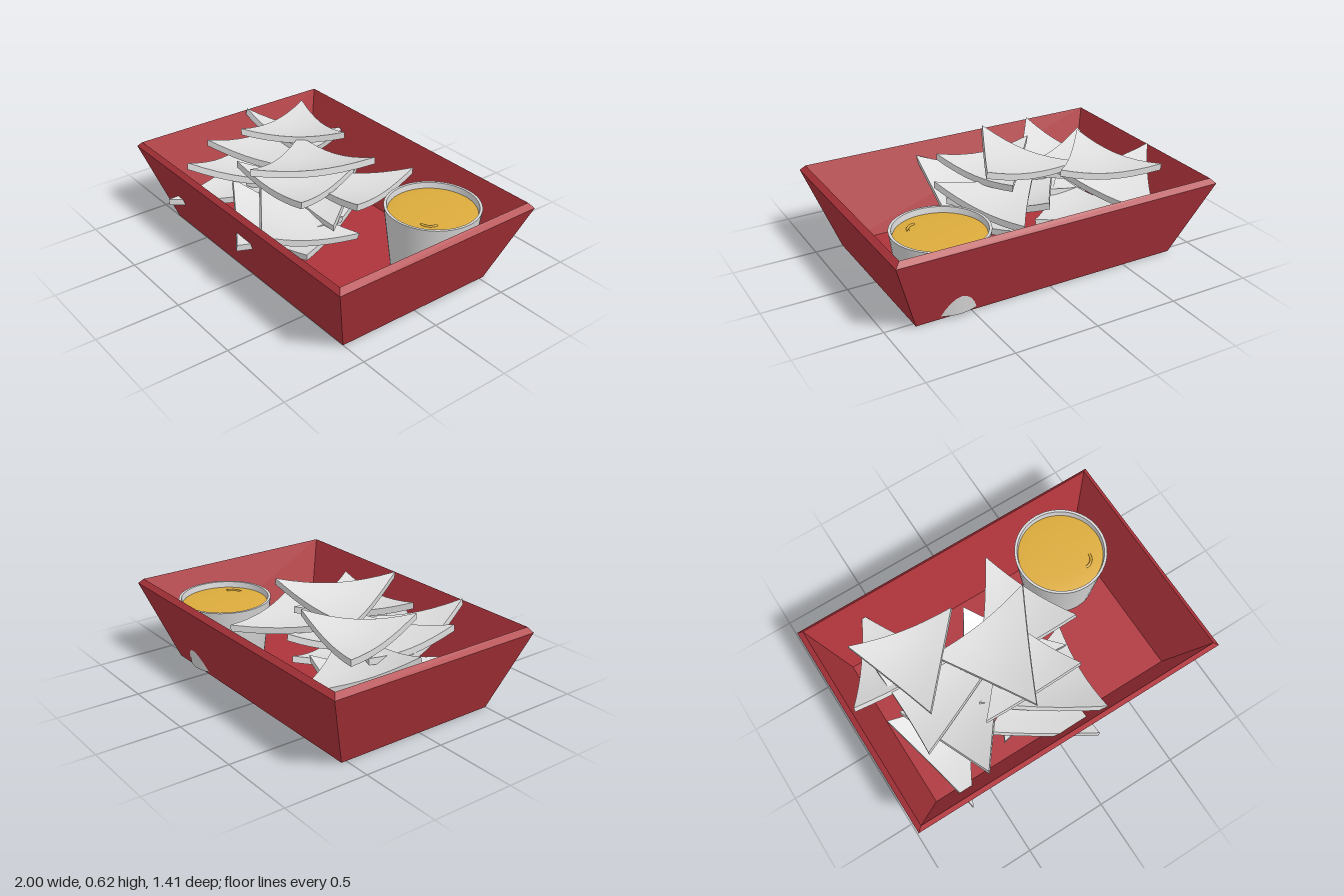
import * as THREE from 'three';

const mat = (name, color, side = THREE.FrontSide) => {
  const m = new THREE.MeshStandardMaterial({ color, side });
  m.name = name;
  return m;
};

// Tray shell: a strip of rectangular rings, capped at the underside and the inner floor
function trayGeometry() {
  const rings = [ // half width, back z, front z, height
    [0.83, -0.53, 0.50, 0],
    [1.00, -0.705, 0.66, 0.475],
    [0.97, -0.68, 0.638, 0.505],
    [0.81, -0.52, 0.47, 0.03],
  ].map(([x, b, f, y]) => [[-x, y, f], [x, y, f], [x, y, b], [-x, y, b]]);
  const pos = [];
  const quad = (a, b, c, d) => pos.push(...a, ...b, ...c, ...a, ...c, ...d);
  for (let r = 0; r < 3; r++) {
    for (let i = 0; i < 4; i++) {
      const j = (i + 1) % 4;
      quad(rings[r][i], rings[r][j], rings[r + 1][j], rings[r + 1][i]);
    }
  }
  quad(...rings[3]);
  quad(...[...rings[0]].reverse());
  const g = new THREE.BufferGeometry();
  g.setAttribute('position', new THREE.Float32BufferAttribute(pos, 3));
  g.computeVertexNormals();
  return g;
}

// Curled triangular chip: corners stay high, the middle sags, with a thin edge all round
function chipGeometry(corners, sag = 0.06, thick = 0.04, n = 8) {
  let [A, B, C] = corners.map((c) => new THREE.Vector3(...c));
  const up = new THREE.Vector3().crossVectors(B.clone().sub(A), C.clone().sub(A)).normalize();
  if (up.y < 0) { [B, C] = [C, B]; up.negate(); }
  const centre = A.clone().add(B).add(C).divideScalar(3);
  const point = (i, j, low) => {
    const b = i / n, c = j / n, a = 1 - b - c;
    const bend = 3 * (a * b + b * c + c * a);
    return new THREE.Vector3()
      .addScaledVector(A, a).addScaledVector(B, b).addScaledVector(C, c)
      .lerp(centre, 0.07 * bend)
      .addScaledVector(up, -sag * bend - (low ? thick : 0));
  };
  const pos = [], index = [];
  // Top and underside grids
  for (const low of [false, true]) {
    const id = {};
    for (let i = 0; i <= n; i++) {
      for (let j = 0; j <= n - i; j++) {
        id[i + '_' + j] = pos.length / 3;
        pos.push(...point(i, j, low).toArray());
      }
    }
    const tri = (a, b, c) => (low ? index.push(id[a], id[c], id[b]) : index.push(id[a], id[b], id[c]));
    for (let i = 0; i < n; i++) {
      for (let j = 0; j < n - i; j++) {
        tri(`${i}_${j}`, `${i + 1}_${j}`, `${i}_${j + 1}`);
        if (i + j < n - 1) tri(`${i + 1}_${j}`, `${i + 1}_${j + 1}`, `${i}_${j + 1}`);
      }
    }
  }
  // Three edge strips
  const sides = [(k) => [k, 0], (k) => [n - k, k], (k) => [0, n - k]];
  for (const side of sides) {
    const start = pos.length / 3;
    for (let k = 0; k <= n; k++) {
      pos.push(...point(...side(k), false).toArray(), ...point(...side(k), true).toArray());
    }
    for (let k = 0; k < n; k++) {
      const t = start + 2 * k;
      index.push(t, t + 1, t + 3, t, t + 3, t + 2);
    }
  }
  const g = new THREE.BufferGeometry();
  g.setAttribute('position', new THREE.Float32BufferAttribute(pos, 3));
  g.setIndex(index);
  g.computeVertexNormals();
  return g;
}

const lathe = (profile) => new THREE.LatheGeometry(profile.map(([r, y]) => new THREE.Vector2(r, y)), 48);

export function createModel() {
  const model = new THREE.Group();
  model.name = 'chipTray';
  const red = mat('trayRed', 0xae343b);
  const white = mat('chipWhite', 0xdedede);
  const grey = mat('cupGrey', 0xd6d6d6, THREE.DoubleSide);
  const yellow = mat('sauceYellow', 0xdcab3c, THREE.DoubleSide);
  const add = (parent, name, geometry, material) => {
    const mesh = new THREE.Mesh(geometry, material);
    mesh.name = name;
    parent.add(mesh);
    return mesh;
  };

  add(model, 'tray', trayGeometry(), red);

  // Dip cup with sauce
  const dip = new THREE.Group();
  dip.name = 'dipCup';
  dip.position.set(0.58, 0, -0.34);
  model.add(dip);
  add(dip, 'cupOuter', lathe([[0, 0.02], [0.225, 0.02]]), grey);
  add(dip, 'cupWall', lathe([[0.225, 0.02], [0.278, 0.43]]), grey);
  add(dip, 'cupRim', lathe([[0.278, 0.43], [0.262, 0.43]]), grey);
  add(dip, 'cupInner', lathe([[0.262, 0.43], [0.252, 0.37]]), grey);
  add(dip, 'sauce', lathe([[0.256, 0.395], [0.2, 0.402], [0.1, 0.405], [0, 0.405]]), yellow);
  const ripple = add(dip, 'sauceRipple', new THREE.TorusGeometry(0.06, 0.008, 6, 16, 1.6), yellow);
  ripple.rotation.set(Math.PI / 2, 0, 0);
  ripple.position.set(0.08, 0.403, 0.1);

  // Pile of chips, upper ones first; each is three corners
  const chips = new THREE.Group();
  chips.name = 'chips';
  model.add(chips);
  [
    [[0.22, 0.625, -0.21], [-0.1, 0.62, 0.43], [-0.42, 0.53, -0.15]],
    [[-0.8, 0.545, -0.45], [-0.19, 0.59, -0.32], [-0.61, 0.59, 0.15]],
    [[-0.62, 0.355, -0.655], [-0.95, 0.525, -0.12], [-0.3, 0.5, -0.11]],
    [[-0.73, 0.52, 0.32], [-0.73, 0.48, -0.28], [-0.08, 0.5, 0.02]],
    [[-0.51, 0.54, 0.59], [-0.74, 0.42, 0.0], [-0.1, 0.44, 0.05]],
    [[0.26, 0.54, 0.34], [-0.37, 0.53, 0.34], [0.05, 0.5, -0.2]],
    [[0.18, 0.43, -0.55], [0.41, 0.5, 0.07], [-0.25, 0.47, 0.05]],
    [[0.27, 0.43, 0.61], [0.35, 0.26, 0.0], [-0.33, 0.43, 0.2]],
    [[0.16, 0.355, 0.7], [-0.38, 0.42, 0.37], [0.2, 0.3, 0.0]],
    [[-0.66, 0.25, 0.655], [-0.82, 0.32, -0.02], [-0.3, 0.3, 0.05]],
    [[-0.1, 0.42, -0.35], [0.3, 0.34, 0.15], [-0.4, 0.38, 0.1]],
    [[-0.65, 0.3, -0.4], [-0.1, 0.25, -0.2], [-0.5, 0.3, 0.2]],
    [[-0.3, 0.2, 0.42], [0.25, 0.18, 0.3], [0.0, 0.22, -0.25]],
  ].forEach((corners, i) => add(chips, 'chip' + (i + 1), chipGeometry(corners), white));

  return model;
}
